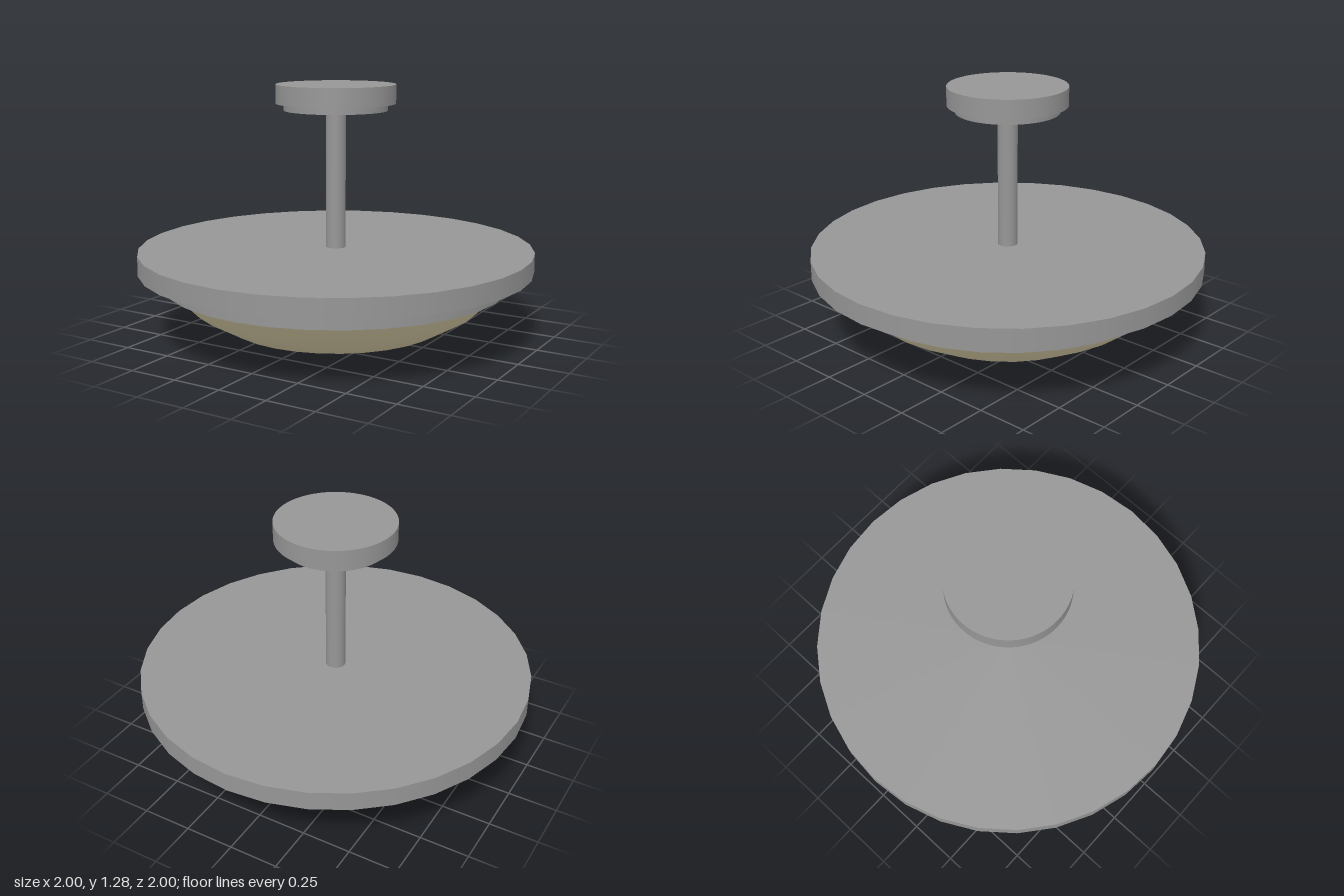
import * as THREE from 'three';

export function createModel() {
  const group = new THREE.Group();
  const metal = new THREE.MeshStandardMaterial({ color: 0x969696 });
  metal.name = 'grey metal';
  const glass = new THREE.MeshStandardMaterial({ color: 0xdacfa8 });
  glass.name = 'frosted cream glass';

  // Upright disc or frustum between two heights
  const disc = (name, rTop, rBottom, y0, y1, sides) => {
    const mesh = new THREE.Mesh(new THREE.CylinderGeometry(rTop, rBottom, y1 - y0, sides), metal);
    mesh.position.y = (y0 + y1) / 2;
    mesh.name = name;
    group.add(mesh);
  };

  // Ceiling mount and stem
  disc('ceilingCanopy', 0.3, 0.3, 1.185, 1.28, 64);
  disc('canopyCollar', 0.26, 0.26, 1.15, 1.185, 64);
  disc('stem', 0.05, 0.05, 0.455, 1.15, 32);

  // Wide pan with a slightly tapered underside and the ring holding the glass
  disc('panRim', 1, 1, 0.357, 0.455, 32);
  disc('panUnderside', 1, 0.87, 0.34, 0.357, 32);
  disc('glassRing', 0.877, 0.877, 0.277, 0.34, 32);

  // Shallow glass bowl
  const profile = [[0, 0], [0.23, 0.001], [0.56, 0.067], [0.73, 0.165], [0.845, 0.28]]
    .map(([r, y]) => new THREE.Vector2(r, y));
  const bowl = new THREE.Mesh(new THREE.LatheGeometry(profile, 32), glass);
  bowl.name = 'glassBowl';
  group.add(bowl);

  return group;
}
